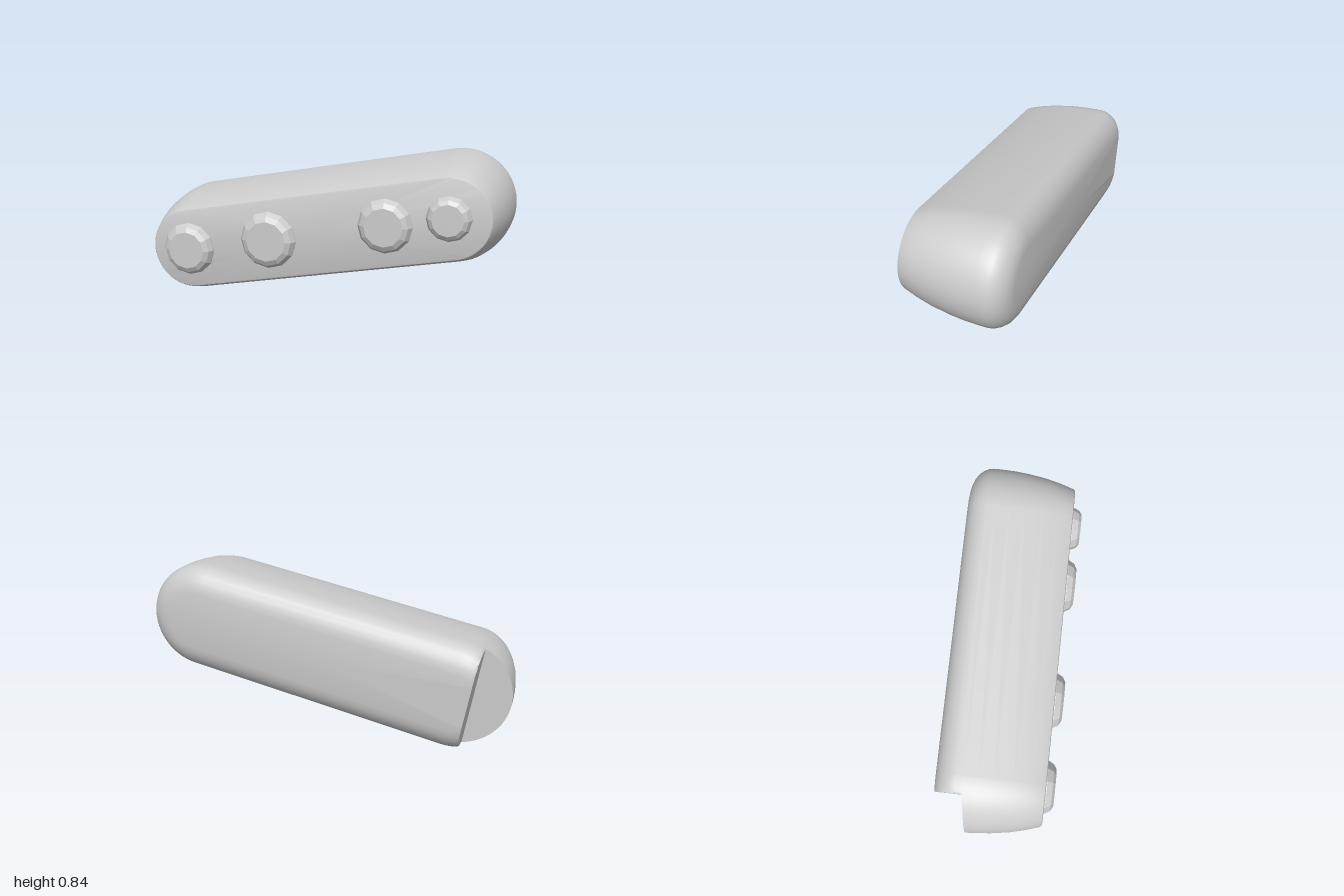
import * as THREE from 'three';
import { toCreasedNormals } from 'three/addons/utils/BufferGeometryUtils.js';

const RADIUS = 0.29, HALF = 0.722, TILT = Math.atan2(0.13, 0.71);
const ARC = 32, NOTCH_U = -0.815, LEDGE_Z = -0.158;

// One stadium-shaped ring, inset from the widest outline; optionally cut off at the notch wall
function ring(z, inset, cut) {
  const pts = [], r = RADIUS - inset;
  for (const side of [1, -1]) {
    for (let i = 0; i <= ARC; i++) {
      const a = -Math.PI / 2 + Math.PI * i / ARC;
      const u = side * (HALF + r * Math.cos(a)), v = side * r * Math.sin(a);
      pts.push(new THREE.Vector3(cut ? Math.max(u, NOTCH_U) : u, v, z));
    }
  }
  return pts;
}

// Body: rings lofted from front to back, with a step where the notch begins
function bodyGeometry() {
  const front = [[0.265, 0.085], [0.262, 0.076], [0.252, 0.07], [0.18, 0.047], [0.1, 0.027], [0, 0.011], [-0.08, 0.003]];
  const back = [[-0.2, 0], [-0.225, 0.005], [-0.25, 0.017], [-0.275, 0.037], [-0.295, 0.066], [-0.308, 0.097], [-0.315, 0.135]];
  const ledge = ring(LEDGE_Z, 0, false);
  for (const p of ledge) p.z += 0.1 * Math.max(0, NOTCH_U - p.x);
  const rings = [
    ...front.map(([z, d]) => ring(z, d, false)),
    ledge,
    ring(LEDGE_Z, 0, true),
    ...back.map(([z, d]) => ring(z, d, true)),
  ];
  const out = [];
  const tri = (a, b, c) => {
    if (new THREE.Triangle(a, b, c).getArea() > 1e-9) for (const p of [a, b, c]) out.push(p.x, p.y, p.z);
  };
  const n = rings[0].length, last = rings[rings.length - 1];
  const frontMid = new THREE.Vector3(0, 0, rings[0][0].z);
  const backMid = new THREE.Vector3(0, 0, last[0].z);
  for (let j = 0; j < n; j++) {
    const k = (j + 1) % n;
    for (let i = 0; i < rings.length - 1; i++) {
      const A = rings[i], B = rings[i + 1];
      tri(A[j], B[j], A[k]);
      tri(A[k], B[j], B[k]);
    }
    tri(frontMid, rings[0][j], rings[0][k]);
    tri(backMid, last[k], last[j]);
  }
  const g = new THREE.BufferGeometry();
  g.setAttribute('position', new THREE.Float32BufferAttribute(out, 3));
  return toCreasedNormals(g, 0.6);
}

// Low-poly bevelled knob facing +z
function knobGeometry(r) {
  const profile = [[r, 0], [r, 0.012], [r * 0.88, 0.042], [r * 0.7, 0.057], [0, 0.057]];
  const g = new THREE.LatheGeometry(profile.map(([x, y]) => new THREE.Vector2(x, y)), 12)
    .rotateX(Math.PI / 2).toNonIndexed();
  g.computeVertexNormals();
  return g;
}

export function createModel() {
  const model = new THREE.Group();
  const grey = new THREE.MeshStandardMaterial({ color: 0xcccccc });
  grey.name = 'light grey';

  const body = new THREE.Mesh(bodyGeometry(), grey);
  body.name = 'body';
  body.position.y = 0.42;
  body.rotation.z = TILT;
  model.add(body);

  // Four knobs along the front face
  const knobs = [[-0.715, 0.29, 0.145], [-0.255, 0.373, 0.155], [0.38, 0.493, 0.145], [0.708, 0.552, 0.118]];
  knobs.forEach(([x, y, r], i) => {
    const knob = new THREE.Mesh(knobGeometry(r), grey);
    knob.name = 'knob' + (i + 1);
    knob.position.set(x, y, 0.258);
    model.add(knob);
  });
  return model;
}
